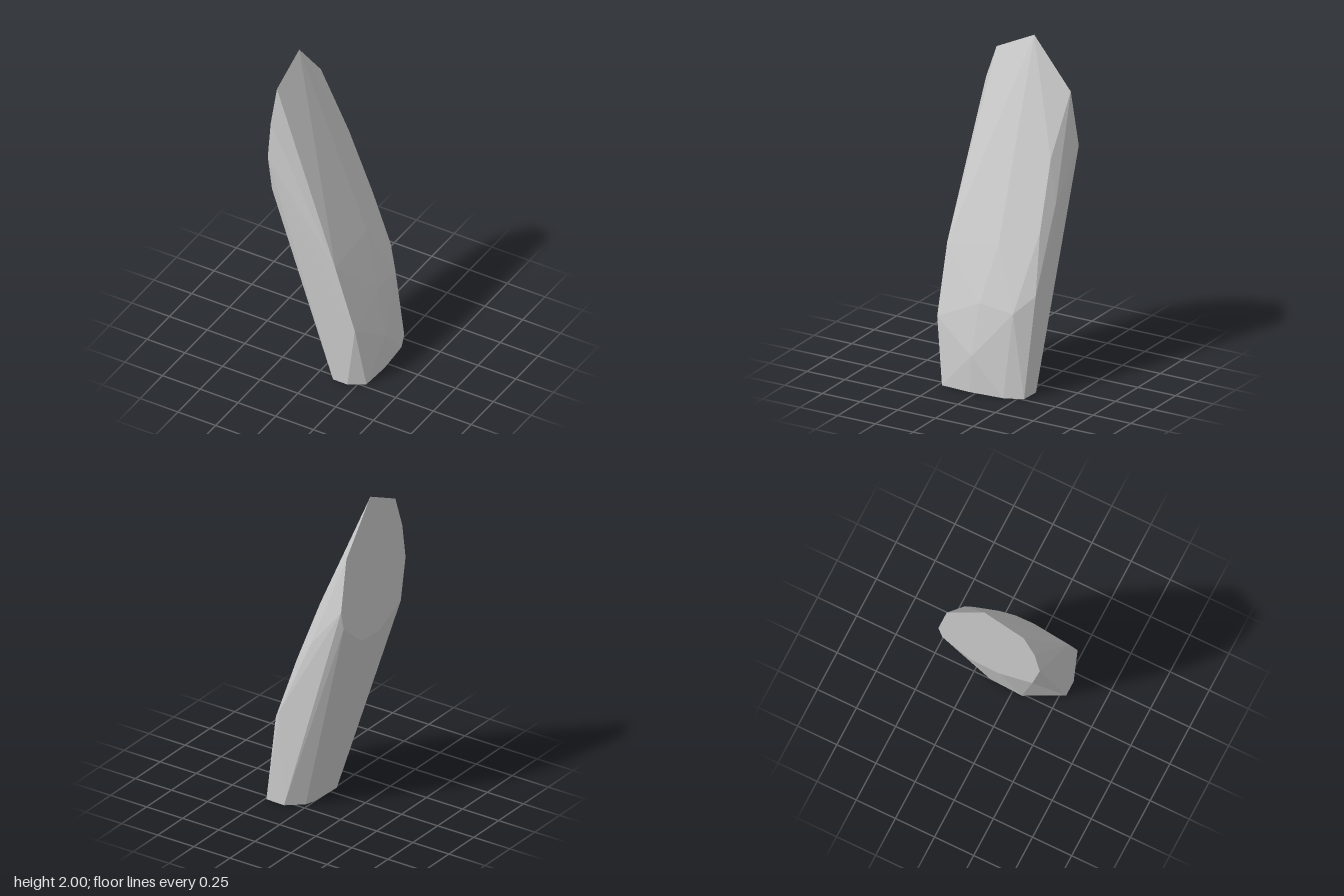
import * as THREE from 'three';
import { ConvexGeometry } from 'three/addons/geometries/ConvexGeometry.js';

// A leaning, faceted rock shard: convex skin over a few corner rings.
export function createModel() {
  const group = new THREE.Group();
  group.name = 'rockShard';

  // Flat cut side at constant x: [y, z]
  const cutX = -0.305;
  const cut = [
    [2, -0.03], [1.88, 0.22], [1.68, 0.29], [1.46, 0.323], [1.2, 0.275],
    [1.1, 0.06], [1.11, -0.12], [1.26, -0.3], [1.38, -0.325], [1.7, -0.272],
  ].map(([y, z]) => new THREE.Vector3(cutX, y, z));

  // Flat base: [x, z]
  const base = [
    [0.105, 0.285], [0.2, 0.285], [0.293, 0.228], [0.303, 0.04], [0.287, -0.175],
    [0.24, -0.285], [0.115, -0.29], [0.02, -0.21], [0, -0.15], [-0.01, 0.06],
  ].map(([x, z]) => new THREE.Vector3(x, 0, z));

  // Corners of the sloping outer side: [x, y, z]
  const outer = [
    [0.25, 0.4, 0.285], [0.125, 0.81, 0.293],
    [0.3, 0.22, 0.03], [0.24, 0.53, 0.01], [0.23, 0.5, -0.205],
    [0.13, 0.86, -0.05], [0.04, 0.95, -0.272], [0.14, 0.6, -0.303],
    [-0.11, 1.35, -0.255], [-0.08, 1.1, -0.307],
  ].map((p) => new THREE.Vector3(...p));

  const rock = new THREE.Mesh(
    new ConvexGeometry([...cut, ...base, ...outer]),
    new THREE.MeshStandardMaterial({ color: 0xcccccc, flatShading: true })
  );
  rock.name = 'rock';
  group.add(rock);
  return group;
}
